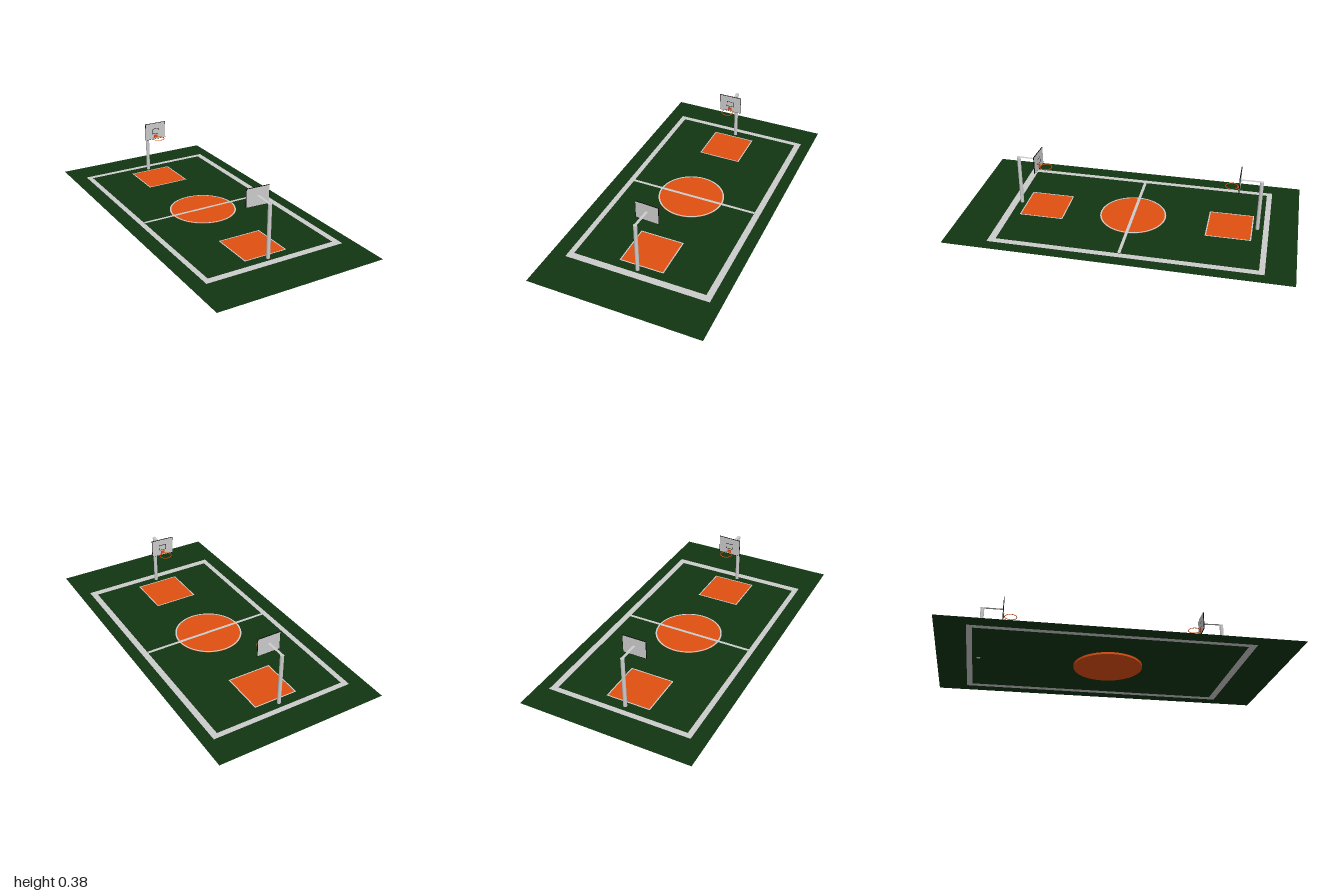
import * as THREE from 'three';

const mat = (color) => new THREE.MeshStandardMaterial({ color, side: THREE.DoubleSide });
const grey = mat(0xcccccc), green = mat(0x113512), orange = mat(0xe04f10), black = mat(0x0a0a0a);
const GROUND = 0.012;

function add(parent, name, geometry, material, x = 0, y = 0, z = 0) {
  const mesh = new THREE.Mesh(geometry, material);
  mesh.name = name;
  mesh.position.set(x, y, z);
  parent.add(mesh);
  return mesh;
}

// Rectangle outline in shape space, given as [x0, x1, y0, y1]
function rectangle([x0, x1, y0, y1], Type = THREE.Shape) {
  return new Type([[x0, y0], [x1, y0], [x1, y1], [x0, y1]].map(([x, y]) => new THREE.Vector2(x, y)));
}

// Rectangle with an optional rectangular opening
function panel(outer, inner) {
  const shape = rectangle(outer);
  if (inner) shape.holes.push(rectangle(inner, THREE.Path));
  return new THREE.ShapeGeometry(shape);
}

// Flat panel on the floor, given as [x0, x1, z0, z1]
function floorPanel(outer, inner) {
  const flip = ([x0, x1, z0, z1]) => [x0, x1, -z1, -z0];
  return panel(flip(outer), inner && flip(inner)).rotateX(-Math.PI / 2);
}

// Basket facing -z, with the middle of the board at its origin in x and z
function createBasket(name, poleDistance, poleBottom) {
  const basket = new THREE.Group();
  basket.name = name;
  const top = 0.33, boardY = 0.323;

  const height = top - poleBottom;
  add(basket, 'pole', new THREE.CylinderGeometry(0.011, 0.011, height, 20), grey,
    0, poleBottom + height / 2, poleDistance);
  // flat strip from the board to the top of the pole
  const reach = poleDistance + 0.011;
  add(basket, 'arm', floorPanel([-0.008, 0.008, 0, reach]), grey, 0, top + 0.0005, 0);

  // board with black rim and grey faces
  add(basket, 'boardRim', new THREE.BoxGeometry(0.142, 0.11, 0.004), black, 0, boardY, 0);
  for (const side of [-1, 1]) {
    add(basket, 'boardFace', panel([-0.069, 0.069, -0.053, 0.053]), grey, 0, boardY, side * 0.0026)
      .rotation.y = side < 0 ? Math.PI : 0;
  }
  add(basket, 'targetSquare', panel([-0.023, 0.023, -0.018, 0.018], [-0.02, 0.02, -0.015, 0.015]),
    black, 0, 0.322, -0.0034).rotation.y = Math.PI;

  // ring and its bracket
  add(basket, 'bracket', new THREE.BoxGeometry(0.022, 0.02, 0.004), orange, 0, 0.288, -0.0045);
  add(basket, 'bracketArm', new THREE.BoxGeometry(0.012, 0.003, 0.01), orange, 0, 0.284, -0.008);
  add(basket, 'ring', new THREE.TorusGeometry(0.036, 0.002, 8, 32).rotateX(Math.PI / 2), orange,
    0, 0.284, -0.046);
  return basket;
}

export function createModel() {
  const model = new THREE.Group();
  model.name = 'basketballCourt';

  // floor, split by the boundary line that shows on both sides
  const outer = [-0.423, 0.444, -0.832, 0.749], inner = [-0.391, 0.407, -0.8, 0.707];
  add(model, 'outerFloor', floorPanel([-0.513, 0.513, -1, 1], outer), green, 0, GROUND, 0);
  add(model, 'boundaryLine', floorPanel(outer, inner), grey, 0, GROUND, 0);
  add(model, 'innerFloor', floorPanel(inner), green, 0, GROUND, 0);

  // centre disc, its outline and the halfway line
  add(model, 'centreDisc', new THREE.CylinderGeometry(0.2, 0.2, 0.014, 48), orange, 0, 0.007, -0.02);
  add(model, 'centreCircle', new THREE.RingGeometry(0.191, 0.2, 48).rotateX(-Math.PI / 2), grey,
    0, 0.0146, -0.02);
  add(model, 'halfwayLine', floorPanel([inner[0], inner[1], -0.03, -0.012]), grey, 0, 0.0152, 0);

  // key area at each end
  for (const [name, z] of [['backKey', -0.604], ['frontKey', 0.521]]) {
    add(model, name, floorPanel([-0.127, 0.127, -0.127, 0.127]), orange, 0, GROUND + 0.001, z);
    add(model, name + 'Line', floorPanel([-0.134, 0.134, -0.134, 0.134], [-0.127, 0.127, -0.127, 0.127]),
      grey, 0, GROUND + 0.001, z);
  }

  // baskets, the front one turned slightly
  const front = createBasket('frontBasket', 0.125, 0.014);
  front.position.z = 0.56;
  front.rotation.y = -0.055;
  const back = createBasket('backBasket', 0.122, 0.011);
  back.position.z = -0.643;
  back.rotation.y = Math.PI;
  model.add(front, back);
  return model;
}
